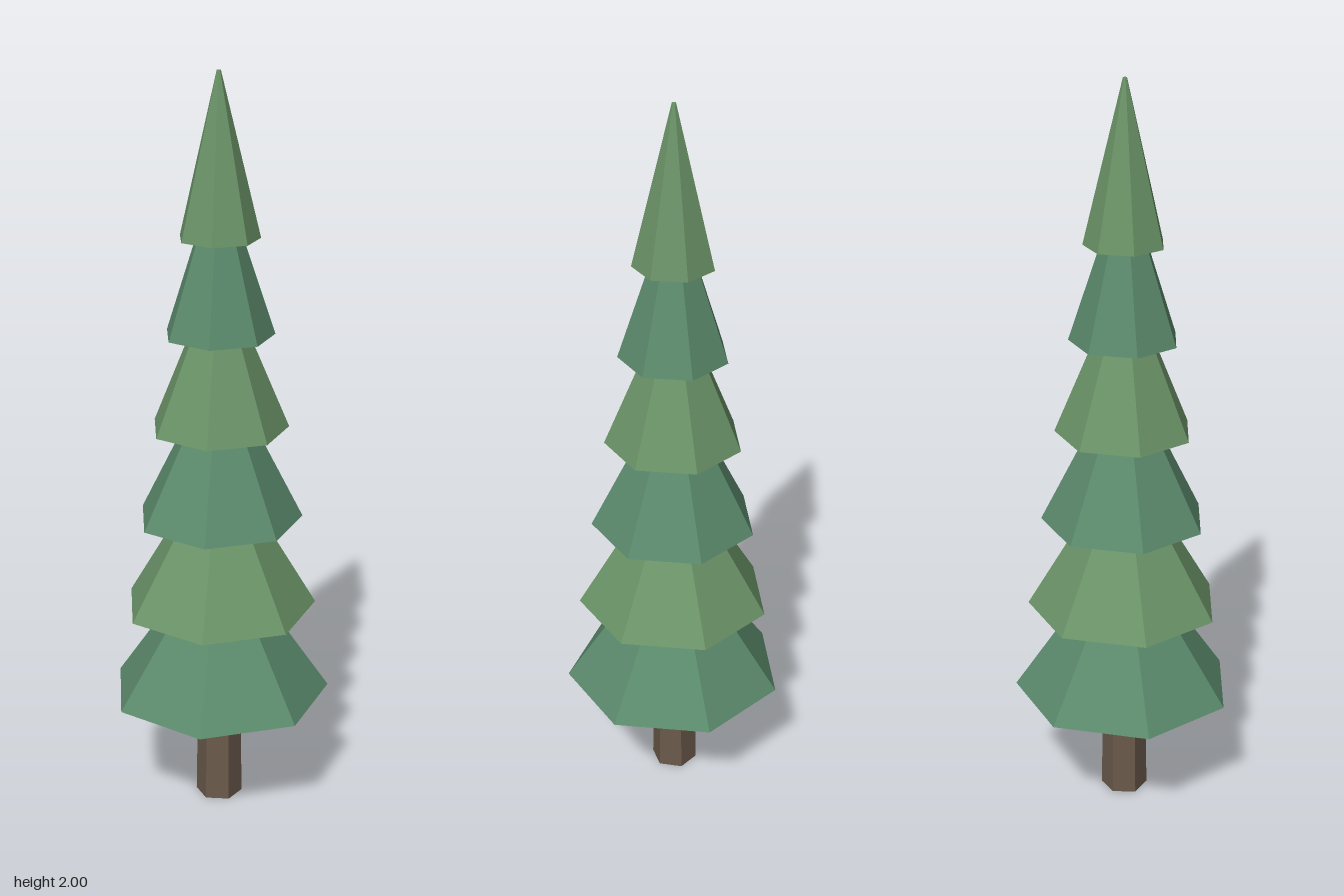
import * as THREE from 'three';

const AXIS_Z = 0.015; // tree axis, so the seven-sided outline is centred

function tapered(name, rTop, rBottom, y, height, sides, open, material) {
  // a corner of the polygon points to the back
  const geo = new THREE.CylinderGeometry(rTop, rBottom, height, sides, 1, open, Math.PI);
  const mesh = new THREE.Mesh(geo, material);
  mesh.name = name;
  mesh.position.set(0, y + height / 2, AXIS_Z);
  return mesh;
}

export function createModel() {
  const tree = new THREE.Group();
  tree.name = 'pineTree';

  const mat = (color, side = THREE.FrontSide) =>
    new THREE.MeshStandardMaterial({ color, flatShading: true, side });
  const bark = mat(0x6b5a4b);
  const greens = [mat(0x5b8a6c, THREE.DoubleSide), mat(0x6b9468, THREE.DoubleSide)];

  // six-sided trunk, reaching up inside the lower tiers
  tree.add(tapered('trunk', 0.05, 0.0635, 0, 0.75, 6, false, bark));

  // six hollow skirts of foliage, shrinking upwards in alternating greens
  const tiers = 6, height = 0.42;
  for (let i = 0; i < tiers; i++) {
    const radius = 0.3 - i * 0.0386;
    const y = 0.318 + i * 0.2524;
    tree.add(tapered(`foliageTier${i + 1}`, radius * 0.05, radius, y, height, 7, true, greens[i % 2]));
  }

  // tiny flat cap closing the tip
  const tip = new THREE.Mesh(new THREE.CircleGeometry(0.0054, 7, Math.PI / 2), greens[1]);
  tip.name = 'tip';
  tip.rotation.x = -Math.PI / 2;
  tip.position.set(0, 2, AXIS_Z);
  tree.add(tip);

  return tree;
}
